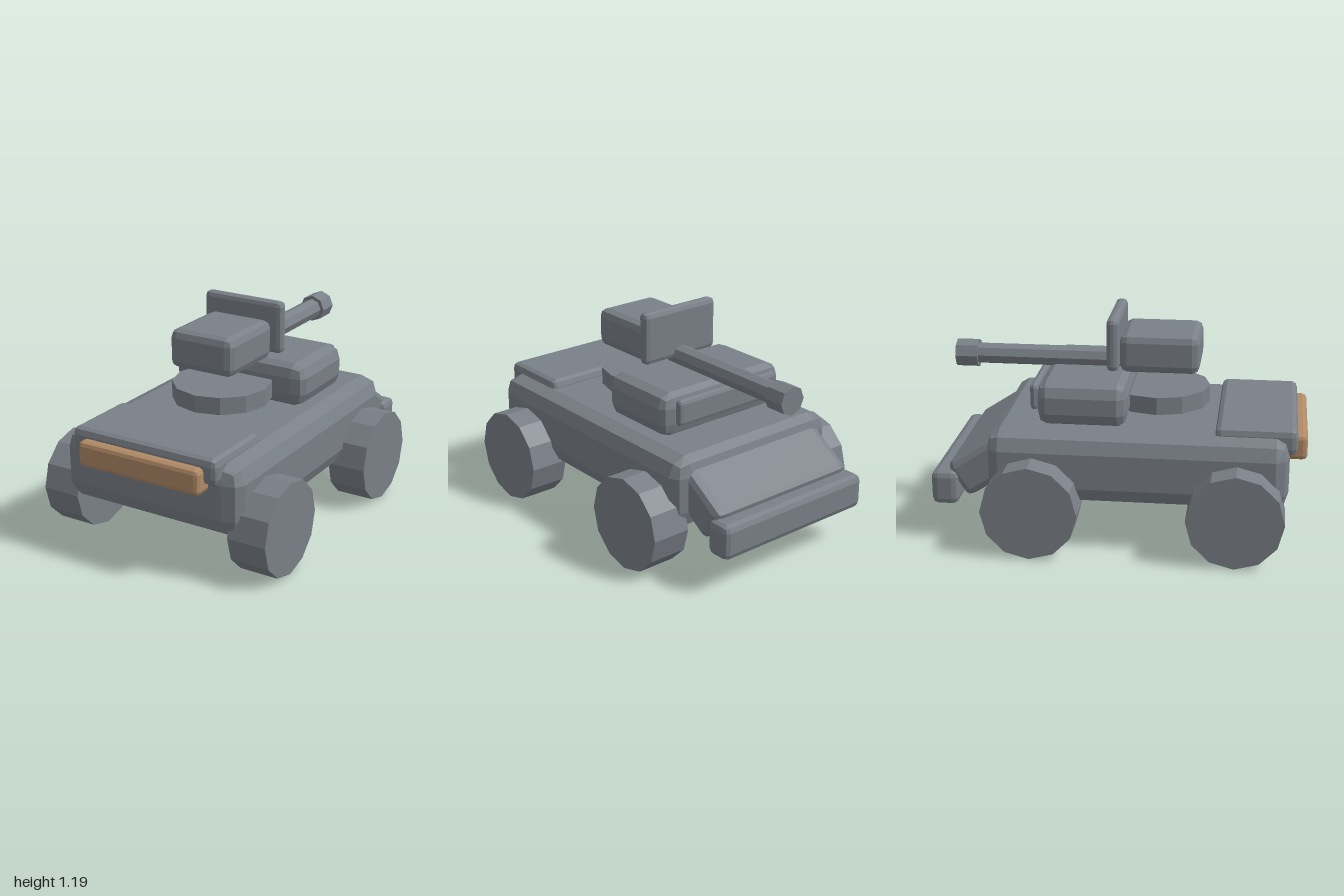
import * as THREE from 'three';
import { RoundedBoxGeometry } from 'three/addons/geometries/RoundedBoxGeometry.js';

function material(name, color) {
  const m = new THREE.MeshStandardMaterial({ color, flatShading: true });
  m.name = name;
  return m;
}

export function createModel() {
  const model = new THREE.Group();
  model.name = 'armouredCar';
  const grey = material('steelGrey', 0x7a8088);
  const tan = material('copperTan', 0xb08a66);

  function add(name, geometry, mat, x, y, z) {
    const mesh = new THREE.Mesh(geometry, mat);
    mesh.name = name;
    mesh.position.set(x, y, z);
    model.add(mesh);
    return mesh;
  }

  // Box with two-facet bevels, a separate bevel radius per axis
  function block(name, mat, size, centre, radii) {
    const [rx, ry, rz] = radii;
    const geometry = new RoundedBoxGeometry(size[0] / rx, size[1] / ry, size[2] / rz, 1, 1);
    geometry.scale(rx, ry, rz);
    return add(name, geometry, mat, ...centre);
  }

  // Hull and its front plate
  block('hull', grey, [1.072, 0.392, 1.6], [0, 0.444, 0.108], [0.1, 0.1, 0.07]);
  block('hoodPlate', grey, [0.872, 0.145, 0.43], [0, 0.612, 0.732], [0.03, 0.04, 0.03]);
  block('frontBar', tan, [0.73, 0.14, 0.12], [0, 0.565, 0.94], [0.025, 0.025, 0.025]);

  // Sloped rear deck and rear bumper
  const deck = block('rearDeck', grey, [0.92, 0.22, 0.36], [0, 0.421, -0.714], [0.05, 0.04, 0.04]);
  deck.rotation.x = -0.576;
  block('rearBumper', grey, [0.965, 0.19, 0.145], [0, 0.295, -0.927], [0.03, 0.035, 0.035]);

  // Turret base, its rear plate and the ring
  block('turretBase', grey, [0.825, 0.24, 0.48], [0, 0.76, -0.193], [0.075, 0.075, 0.05]);
  block('turretRearPlate', grey, [0.68, 0.145, 0.045], [0, 0.782, -0.453], [0.022, 0.022, 0.02]);
  add('turretRing', new THREE.CylinderGeometry(0.27, 0.27, 0.095, 12), grey, 0, 0.733, 0.195);

  // Gun housing, shield and barrel
  block('gunHousing', grey, [0.388, 0.215, 0.43], [0, 0.992, 0.2], [0.045, 0.045, 0.04]);
  block('gunShield', grey, [0.485, 0.29, 0.066], [0, 1.05, -0.046], [0.028, 0.028, 0.024]);
  const along = (r, length) => new THREE.CylinderGeometry(r, r, length, 8).rotateX(Math.PI / 2);
  add('gunBarrel', along(0.058, 0.82), grey, 0, 0.918, -0.43);
  add('muzzle', along(0.078, 0.12), grey, 0, 0.918, -0.877);

  // Four twelve-sided wheels
  const wheel = new THREE.CylinderGeometry(0.256, 0.256, 0.217, 12).rotateZ(Math.PI / 2);
  for (const [end, z] of [['front', 0.639], ['rear', -0.436]]) {
    for (const [side, s] of [['Left', 1], ['Right', -1]]) {
      add(`${end}${side}Wheel`, wheel, grey, s * 0.574, 0.257, z);
    }
  }
  return model;
}
